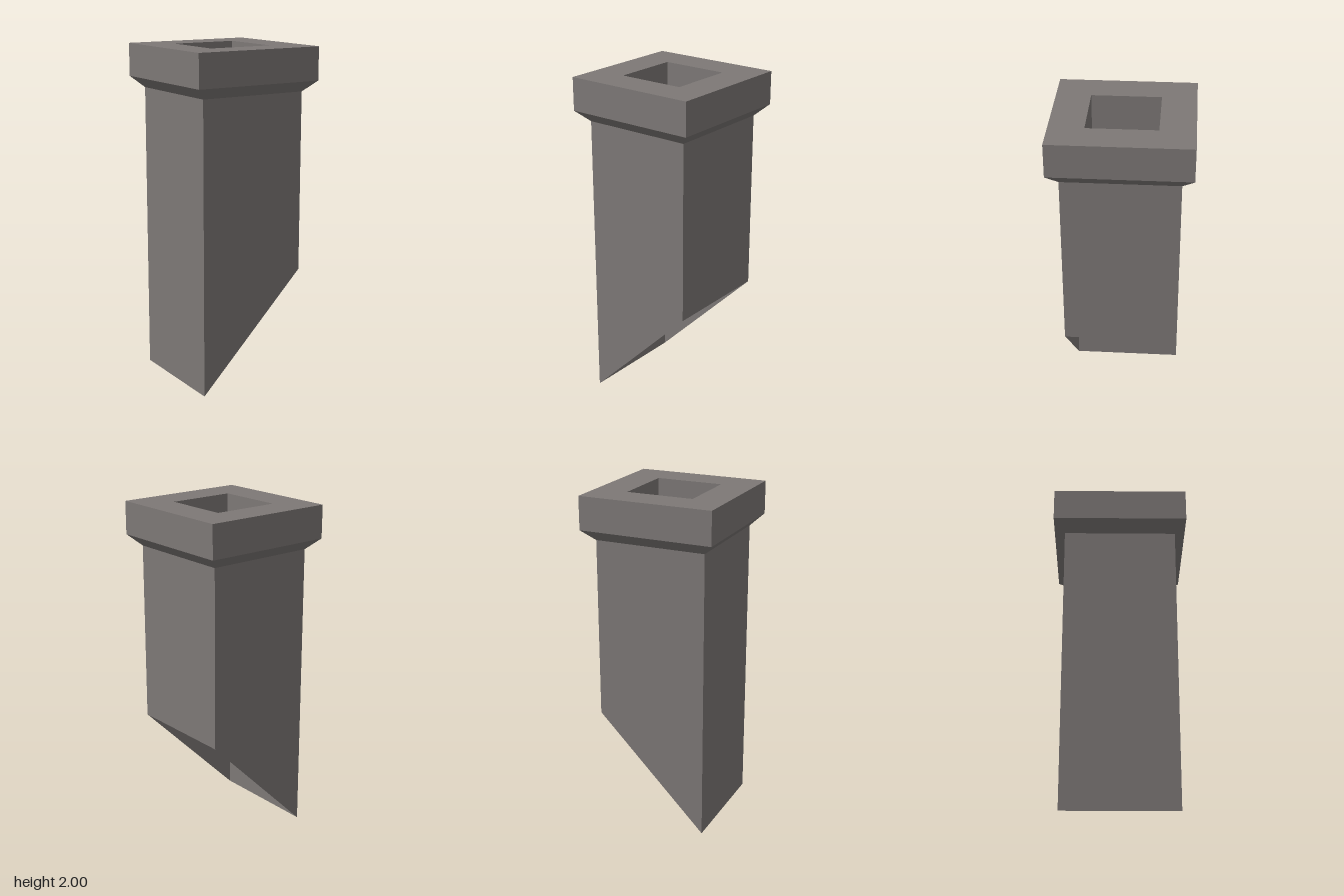
import * as THREE from 'three';

const SHAFT = 0.333, CAP = 0.4, FLUE = 0.2; // half widths
const EAVE = 0.67; // height of the short side of the shaft

// Open four-sided wall between two heights, with half widths at bottom and top
function squareTube(bottomHalf, topHalf, y0, y1) {
  const g = new THREE.CylinderGeometry(topHalf * Math.SQRT2, bottomHalf * Math.SQRT2, y1 - y0, 4, 1, true);
  g.rotateY(Math.PI / 4);
  g.translate(0, (y0 + y1) / 2, 0);
  return g;
}

export function createModel() {
  const group = new THREE.Group();
  const stone = new THREE.MeshStandardMaterial({ color: 0x7d7876, side: THREE.DoubleSide });
  stone.name = 'greyStone';

  const add = (name, geometry) => {
    const flat = geometry.index ? geometry.toNonIndexed() : geometry;
    flat.computeVertexNormals();
    const mesh = new THREE.Mesh(flat, stone);
    mesh.name = name;
    group.add(mesh);
  };

  // Outer shaft, its open bottom cut to the roof slope
  const shaft = squareTube(SHAFT, SHAFT, 0, 1.74);
  const p = shaft.attributes.position;
  for (let i = 0; i < p.count; i++) {
    if (p.getY(i) < 0.5) p.setY(i, p.getX(i) > 0 ? EAVE : 0);
  }
  add('shaft', shaft);

  // Flared collar and cap sides
  add('collar', squareTube(SHAFT, CAP, 1.74, 1.805));
  add('capSides', squareTube(CAP, CAP, 1.805, 2));

  // Cap top with the square flue opening
  const square = (Type, h) => new Type([[-h, -h], [h, -h], [h, h], [-h, h]].map(([x, y]) => new THREE.Vector2(x, y)));
  const rim = square(THREE.Shape, CAP);
  rim.holes.push(square(THREE.Path, FLUE));
  add('capTop', new THREE.ShapeGeometry(rim).rotateX(-Math.PI / 2).translate(0, 2, 0));

  // Thin inner flue, open at both ends
  add('flue', squareTube(FLUE, FLUE, EAVE, 2));

  return group;
}
